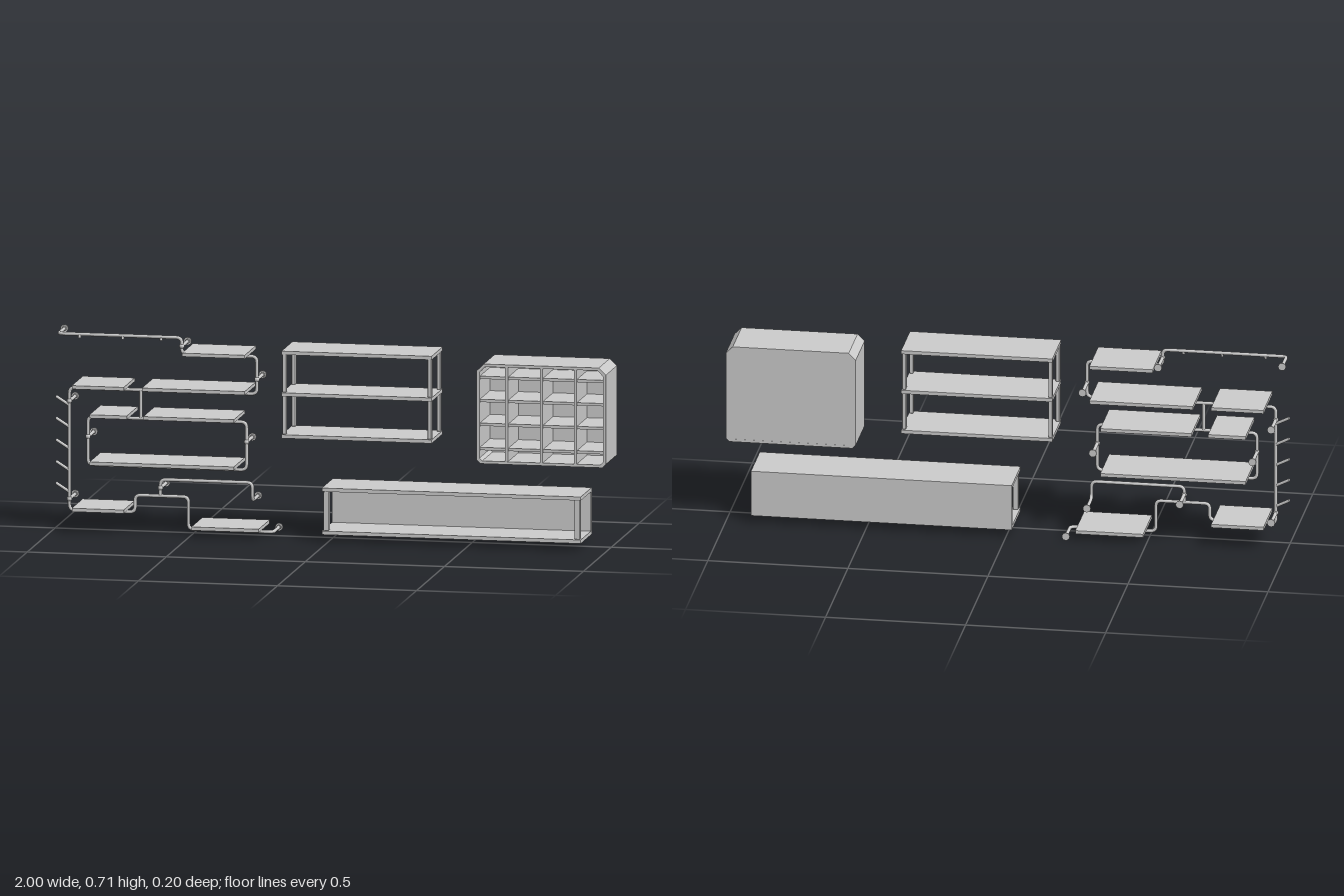
import * as THREE from 'three';
import { RoundedBoxGeometry } from 'three/addons/geometries/RoundedBoxGeometry.js';

const grey = new THREE.MeshStandardMaterial({ color: 0xcccccc });
const Z = 0.0065, WALL = -0.098, FRONT = 0.1, R = 0.0062;

function add(parent, name, geometry, x = 0, y = 0, z = 0) {
  const mesh = new THREE.Mesh(geometry, grey);
  mesh.name = name;
  mesh.position.set(x, y, z);
  parent.add(mesh);
  return mesh;
}

// Box given by its limits on each axis
function block(parent, name, x0, x1, y0, y1, z0 = WALL, z1 = FRONT) {
  return add(parent, name, new THREE.BoxGeometry(x1 - x0, y1 - y0, z1 - z0),
    (x0 + x1) / 2, (y0 + y1) / 2, (z0 + z1) / 2);
}

// Upright with softened edges
function post(parent, x, y0, y1, z, wx, wz) {
  add(parent, 'post', new RoundedBoxGeometry(wx, y1 - y0, wz, 2, 0.003), x, (y0 + y1) / 2, z);
}

// Pipe through corner points [x, y, z], with rounded bends
function pipe(parent, name, corners, bend = 0.02) {
  const pts = corners.map(([x, y, z = Z]) => new THREE.Vector3(x, y, z));
  const path = new THREE.CurvePath();
  let from = pts[0];
  for (let i = 1; i < pts.length - 1; i++) {
    const p = pts[i];
    const toward = (q) => p.clone().add(
      q.clone().sub(p).setLength(Math.min(bend, p.distanceTo(q) * 0.45)));
    const a = toward(pts[i - 1]), b = toward(pts[i + 1]);
    path.add(new THREE.LineCurve3(from, a));
    path.add(new THREE.QuadraticBezierCurve3(a, p, b));
    from = b;
  }
  path.add(new THREE.LineCurve3(from, pts[pts.length - 1]));
  const segments = Math.ceil(path.getLength() / 0.005);
  path.arcLengthDivisions = segments * 2;
  add(parent, name, new THREE.TubeGeometry(path, segments, R, 10, false));
}

// Short capped rod between two points
function rod(parent, name, a, b, r = R) {
  const p = new THREE.Vector3(...a), q = new THREE.Vector3(...b);
  const mesh = add(parent, name, new THREE.CylinderGeometry(r, r, p.distanceTo(q), 12));
  mesh.position.copy(p).add(q).multiplyScalar(0.5);
  mesh.quaternion.setFromUnitVectors(new THREE.Vector3(0, 1, 0), q.sub(p).normalize());
}

// Round plate against the wall
function flange(parent, x, y) {
  rod(parent, 'wallFlange', [x, y, WALL - 0.002], [x, y, WALL + 0.003], 0.014);
  rod(parent, 'flangeCollar', [x, y, WALL], [x, y, WALL + 0.01], 0.009);
}

// Arm from a pipe run back to the wall, with a tee fitting on the run
function wallArm(parent, x, y) {
  rod(parent, 'wallArm', [x, y, WALL], [x, y, Z]);
  add(parent, 'teeFitting', new THREE.SphereGeometry(0.0095, 14, 10), x, y, Z);
  flange(parent, x, y);
}

function pipeShelves() {
  const g = new THREE.Group();
  g.name = 'pipeShelves';
  // Long winding pipe from upper wall flange to lower wall flange
  pipe(g, 'mainPipe', [
    [-0.986, 0.7, WALL], [-0.986, 0.7], [-0.543, 0.7], [-0.543, 0.642], [-0.273, 0.642],
    [-0.273, 0.508], [-0.947, 0.508], [-0.947, 0.07], [-0.711, 0.07], [-0.711, 0.131],
    [-0.519, 0.131], [-0.519, 0.016], [-0.214, 0.016], [-0.214, 0.016, WALL]]);
  // Closed inner loop hung from the main pipe
  pipe(g, 'loopPipe', [[-0.69, 0.406], [-0.31, 0.406], [-0.31, 0.235],
    [-0.88, 0.235], [-0.88, 0.406], [-0.69, 0.406]]);
  rod(g, 'loopHanger', [-0.69, 0.406, Z], [-0.69, 0.508, Z]);
  // Low branch returning to the wall
  pipe(g, 'branchPipe', [[-0.62, 0.131], [-0.62, 0.19], [-0.289, 0.19],
    [-0.289, 0.126], [-0.289, 0.126, WALL]]);

  for (const [x, y] of [[-0.986, 0.7], [-0.214, 0.016], [-0.289, 0.126]]) flange(g, x, y);
  for (const [x, y] of [[-0.543, 0.67], [-0.273, 0.56], [-0.947, 0.46], [-0.947, 0.11],
    [-0.88, 0.335], [-0.31, 0.335], [-0.62, 0.16]]) wallArm(g, x, y);

  // Slanted pegs on the outer upright
  for (let i = 0; i < 5; i++) {
    const y = 0.135 + i * 0.0775;
    rod(g, 'sidePeg', [-0.947, y, Z], [-0.997, y + 0.028, -0.004], 0.0055);
  }
  // Small pegs under the top rail
  for (const x of [-0.91, -0.755, -0.617]) {
    rod(g, 'railPeg', [x, 0.7, Z], [x, 0.687, Z + 0.004], 0.005);
  }

  // Boards: left edge, right edge, underside
  for (const [x0, x1, y] of [
    [-0.524, -0.298, 0.649], [-0.92, -0.733, 0.519], [-0.668, -0.298, 0.519],
    [-0.856, -0.722, 0.417], [-0.663, -0.337, 0.417], [-0.856, -0.337, 0.248],
    [-0.92, -0.733, 0.08], [-0.49, -0.248, 0.028]]) block(g, 'pipeShelfBoard', x0, x1, y, y + 0.0125);
  return g;
}

function openShelfUnit() {
  const g = new THREE.Group();
  g.name = 'openShelfUnit';
  for (const y of [0.369, 0.519, 0.668]) block(g, 'shelfBoard', -0.166, 0.374, y, y + 0.013);
  for (const x of [-0.157, 0.365])
    for (const z of [0.084, -0.08])
      for (const y of [0.382, 0.532]) post(g, x, y, y + 0.137, z, 0.014, 0.022);
  return g;
}

function lowBench() {
  const g = new THREE.Group();
  g.name = 'lowBench';
  block(g, 'benchBottom', -0.021, 0.91, 0.029, 0.042);
  block(g, 'benchTop', -0.021, 0.91, 0.183, 0.196);
  block(g, 'benchBack', -0.021, 0.91, 0.042, 0.183, WALL, -0.082);
  for (const x of [-0.007, 0.896]) post(g, x, 0.042, 0.183, 0.084, 0.02, 0.022);
  return g;
}

// Outline with bevelled corners
function bevelled(Type, x0, x1, y0, y1, c) {
  const b = c * 0.5;
  return new Type([[x0 + b, y0], [x1 - b, y0], [x1, y0 + b], [x1, y1 - c],
    [x1 - c, y1], [x0 + c, y1], [x0, y1 - c], [x0, y0 + b]].map((p) => new THREE.Vector2(...p)));
}

function cubbyCabinet() {
  const g = new THREE.Group();
  g.name = 'cubbyCabinet';
  const [x0, x1, y0, y1, t] = [0.536, 1, 0.303, 0.66, 0.01];
  const extrude = (shape, depth) => new THREE.ExtrudeGeometry(shape, { depth, bevelEnabled: false });
  const shell = bevelled(THREE.Shape, x0, x1, y0, y1, 0.025);
  shell.holes.push(bevelled(THREE.Path, x0 + t, x1 - t, y0 + t, y1 - t, 0.02));
  add(g, 'cabinetShell', extrude(shell, FRONT - WALL), 0, 0, WALL);
  add(g, 'cabinetBack', extrude(bevelled(THREE.Shape, x0 + 0.002, x1 - 0.002, y0 + 0.002, y1 - 0.002, 0.024), 0.01),
    0, 0, WALL + 0.0005);
  for (const x of [0.643, 0.768, 0.89])
    block(g, 'divider', x - 0.005, x + 0.005, y0 + t, y1 - t, WALL + 0.01, FRONT - 0.002);
  for (const y of [0.355, 0.442, 0.527, 0.61])
    block(g, 'cubbyShelf', x0 + t, x1 - t, y - 0.005, y + 0.005, WALL + 0.01, FRONT - 0.008);
  return g;
}

export function createModel() {
  const model = new THREE.Group();
  model.name = 'wallShelving';
  model.add(pipeShelves(), openShelfUnit(), lowBench(), cubbyCabinet());
  return model;
}
